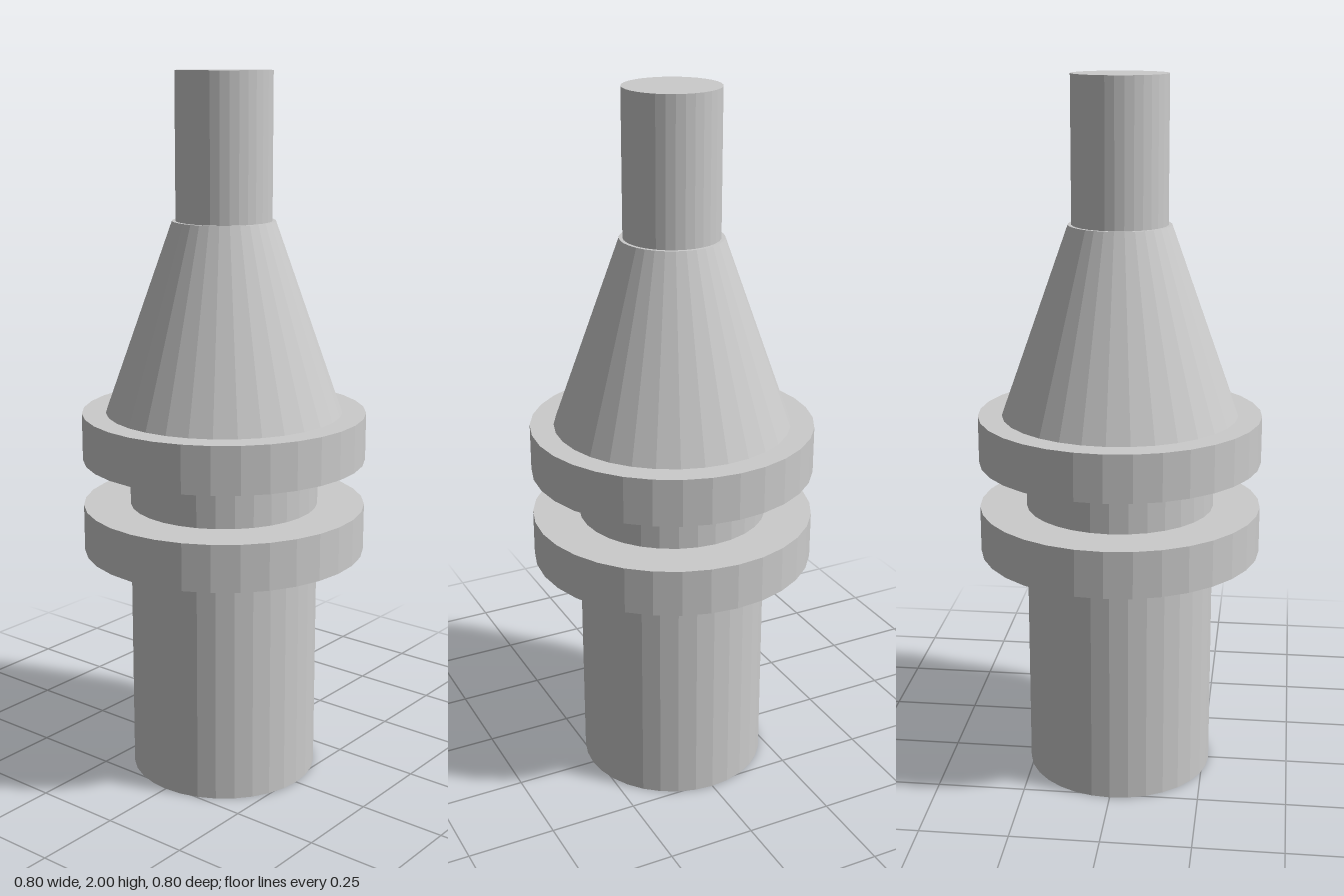
import * as THREE from 'three';

const SIDES = 32;

export function createModel() {
  const model = new THREE.Group();
  model.name = 'steppedSpindle';
  const material = new THREE.MeshStandardMaterial({ color: 0xcccccc, flatShading: true });

  // Stacked round sections: name, bottom y, top y, bottom radius, top radius
  const sections = [
    ['baseShaft', 0, 0.667, 0.267, 0.267],
    ['lowerFlange', 0.667, 0.8, 0.4, 0.4],
    ['neckBetweenFlanges', 0.8, 0.933, 0.267, 0.267],
    ['upperFlange', 0.933, 1.067, 0.4, 0.4],
    ['taperedCone', 1.067, 1.6, 0.333, 0.143],
    ['tipShaft', 1.6, 2, 0.133, 0.133],
  ];

  for (const [name, y0, y1, rBottom, rTop] of sections) {
    const mesh = new THREE.Mesh(
      new THREE.CylinderGeometry(rTop, rBottom, y1 - y0, SIDES),
      material
    );
    mesh.name = name;
    mesh.position.y = (y0 + y1) / 2;
    model.add(mesh);
  }
  return model;
}
